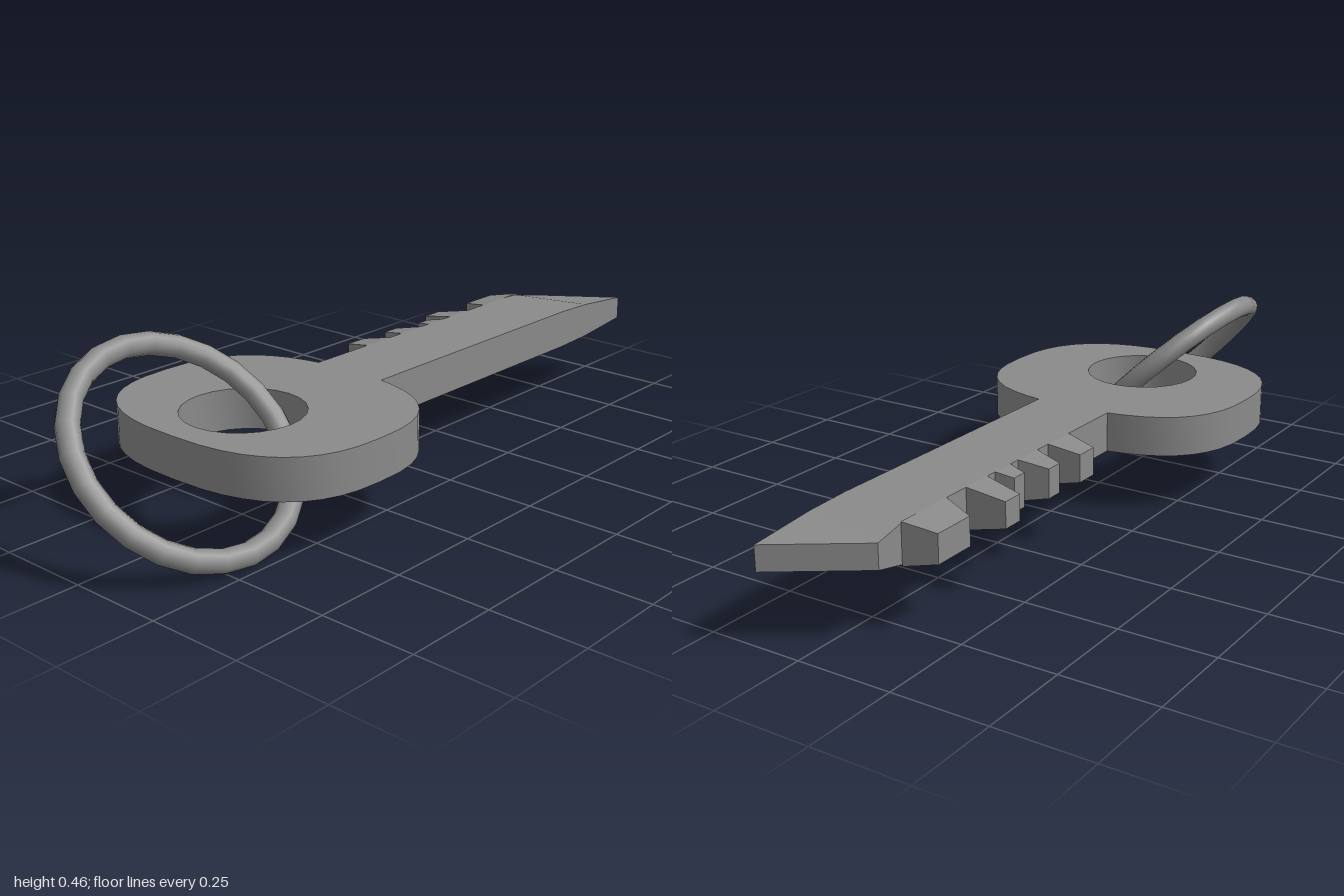
import * as THREE from 'three';
import { toCreasedNormals } from 'three/addons/utils/BufferGeometryUtils.js';

const MID = 0.217, HALF = 0.0535;          // height and half thickness of the key
const FRONT = 0.107, BACK = -0.109;        // long sides of the shaft
const TAPER_X = 0.7;                       // where the tip starts

// Six-sided block; corner(right, up, front) returns the position of each corner
function block(corner) {
  const geometry = new THREE.BoxGeometry(1, 1, 1);
  const p = geometry.attributes.position;
  for (let i = 0; i < p.count; i++) {
    p.setXYZ(i, ...corner(p.getX(i) > 0, p.getY(i) > 0, p.getZ(i) > 0));
  }
  geometry.computeVertexNormals();
  return geometry;
}

// Rounded-square oval (superellipse) of the bow, open where the shaft joins
function bowPoints(cx, rx, rz, power, segments) {
  const curve = (v) => Math.sign(v) * Math.abs(v) ** (2 / power);
  const points = [];
  for (let i = 0; i <= segments; i++) {
    const a = (i / segments) * 2 * Math.PI;
    const x = cx + rx * curve(Math.cos(a)), y = rz * curve(Math.sin(a));
    if (x < cx || y > -BACK || y < -FRONT) points.push(new THREE.Vector2(x, y));
  }
  return points;
}

export function createModel() {
  const key = new THREE.Group();
  key.name = 'keyWithRing';
  const material = new THREE.MeshStandardMaterial({ color: 0x8a8a8a });
  const add = (name, geometry, parent = key) => {
    const mesh = new THREE.Mesh(geometry, material);
    mesh.name = name;
    parent.add(mesh);
    return mesh;
  };

  // Bow and straight shaft in one outline, with the round ring hole
  const outline = new THREE.Shape([
    new THREE.Vector2(TAPER_X, -FRONT),
    new THREE.Vector2(TAPER_X, -BACK),
    new THREE.Vector2(-0.106, -BACK),
    ...bowPoints(-0.407, 0.305, 0.368, 2.6, 40),
    new THREE.Vector2(-0.106, -FRONT),
  ]);
  const hole = new THREE.Path();
  hole.absarc(-0.485, 0, 0.155, 0, 2 * Math.PI, true);
  outline.holes.push(hole);
  const body = new THREE.ExtrudeGeometry(outline, {
    depth: 2 * HALF, bevelEnabled: false, curveSegments: 12,
  });
  body.rotateX(-Math.PI / 2).translate(0, MID - HALF, 0);
  add('bowAndShaft', toCreasedNormals(body, 0.5));

  // Slanted tip, thinning in two steps: front x, back x, half thickness
  const tip = new THREE.Group();
  tip.name = 'tip';
  key.add(tip);
  const stations = [[TAPER_X, TAPER_X, HALF], [0.82, 0.77, 0.049], [1, 0.85, 0.032]];
  for (let i = 0; i < 2; i++) {
    add('tipSection' + (i + 1), block((right, up, front) => {
      const [xFront, xBack, half] = stations[right ? i + 1 : i];
      return [front ? xFront : xBack, MID + (up ? half : -half), front ? FRONT : BACK];
    }), tip);
  }

  // Teeth: base start, base end, top start, top end, outer z
  const teeth = new THREE.Group();
  teeth.name = 'teeth';
  key.add(teeth);
  [
    [0.086, 0.182, 0.102, 0.166, -0.193],
    [0.230, 0.315, 0.246, 0.294, -0.184],
    [0.348, 0.412, 0.358, 0.401, -0.156],
    [0.444, 0.529, 0.455, 0.513, -0.208],
    [0.604, 0.770, 0.631, 0.749, -0.193],
  ].forEach(([b0, b1, t0, t1, z], i) => {
    const outerHalf = HALF - 0.2 * (BACK - z);
    add('tooth' + (i + 1), block((right, up, front) => [
      front ? (right ? b1 : b0) : (right ? t1 : t0),
      MID + (up ? 1 : -1) * (front ? HALF : outerHalf),
      front ? BACK : z,
    ]), teeth);
  });

  // Tilted ring through the bow
  const ring = add('ring', new THREE.TorusGeometry(0.286, 0.029, 12, 24));
  ring.rotation.x = -Math.PI / 4;
  ring.position.set(-0.685, 0.234, 0.013);

  return key;
}
